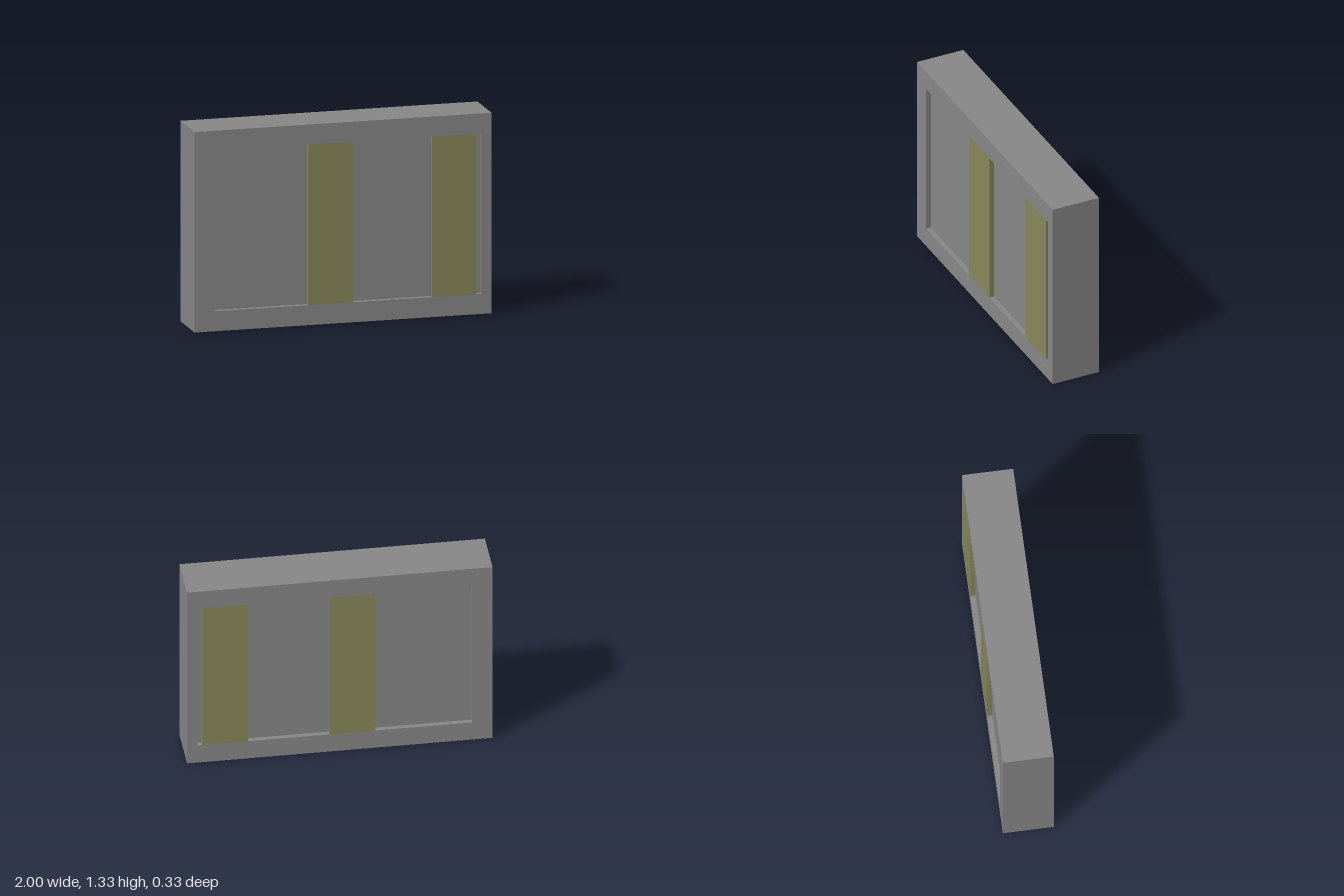
import * as THREE from 'three';

const U = 1 / 30; // modular unit
const gray = new THREE.MeshStandardMaterial({ color: 0x888888 });
gray.name = 'gray';
const olive = new THREE.MeshStandardMaterial({ color: 0x88885c });
olive.name = 'olive';

const WIDTH = 60 * U, HEIGHT = 40 * U, DEPTH = 10 * U, RECESS = U;
const opening = { x0: -26 * U, x1: 28 * U, y0: 4 * U, y1: 36 * U };

// Rectangle outline, usable as a shape or a hole
function rect(Type, x0, y0, x1, y1) {
  return new Type([[x0, y0], [x1, y0], [x1, y1], [x0, y1]].map(([x, y]) => new THREE.Vector2(x, y)));
}

// Upright box spanning the height of the opening
function fill(name, x0, x1, depth, material) {
  const { y0, y1 } = opening;
  const mesh = new THREE.Mesh(new THREE.BoxGeometry(x1 - x0, y1 - y0, depth), material);
  mesh.position.set((x0 + x1) / 2, (y0 + y1) / 2, 0);
  mesh.name = name;
  return mesh;
}

export function createModel() {
  const group = new THREE.Group();
  group.name = 'slidingPanelWall';

  // Outer frame with one off-centre opening
  const outline = rect(THREE.Shape, -WIDTH / 2, 0, WIDTH / 2, HEIGHT);
  outline.holes.push(rect(THREE.Path, opening.x0, opening.y0, opening.x1, opening.y1));
  const frameGeometry = new THREE.ExtrudeGeometry(outline, { depth: DEPTH, bevelEnabled: false });
  frameGeometry.translate(0, 0, -DEPTH / 2);
  const frame = new THREE.Mesh(frameGeometry, gray);
  frame.name = 'frame';
  group.add(frame);

  // Gray panels set back on both faces, between the flush olive posts
  const posts = [[-7 * U, 2 * U], [18 * U, 27 * U]];
  let start = opening.x0;
  posts.forEach(([x0, x1], i) => {
    group.add(fill(`panel${i + 1}`, start, x0, DEPTH - 2 * RECESS, gray));
    group.add(fill(`post${i + 1}`, x0, x1, DEPTH, olive));
    start = x1;
  });
  group.add(fill('panel3', start, opening.x1, DEPTH - 2 * RECESS, gray));
  return group;
}
